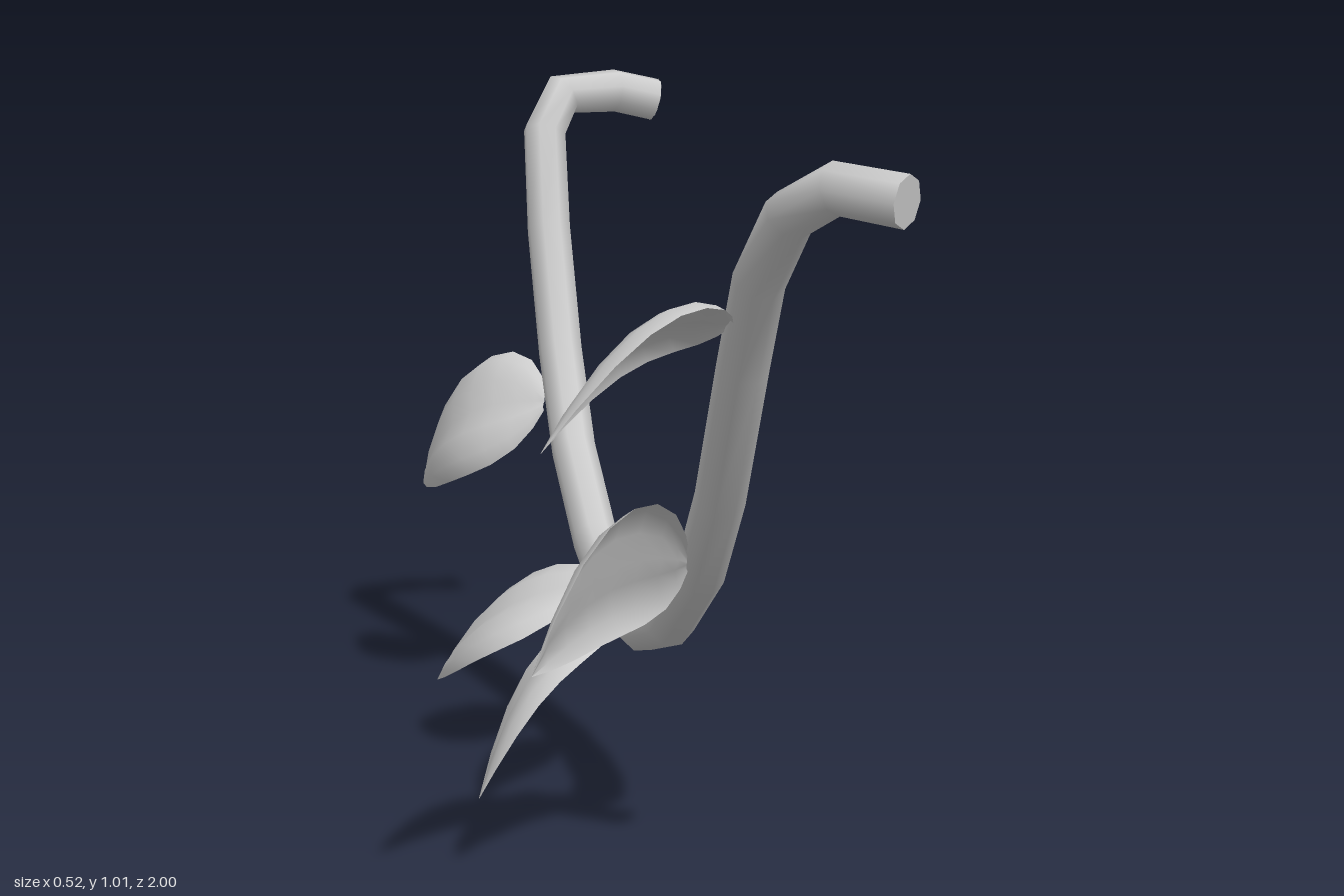
import * as THREE from 'three';

const V = (a) => new THREE.Vector3(...a);
const material = new THREE.MeshStandardMaterial({ color: 0xcccccc, side: THREE.DoubleSide });

// Leaf: rows of vertices across a bowed midrib, with a shallow groove and rims curling away from the bow
function makeLeaf({ base, tip, side, bow }) {
  const b = V(base), t = V(tip), s = V(side), a = V(bow);
  const up = new THREE.Vector3().crossVectors(t.clone().sub(b), s).normalize();
  if (up.dot(a) < 0) up.negate();
  const outline = [[0, 0.14], [0.06, 0.44], [0.16, 0.76], [0.3, 0.97], [0.45, 1.02],
    [0.6, 0.95], [0.75, 0.76], [0.89, 0.42], [1, 0.02]];
  const across = [[-1, -0.026], [-0.8, -0.008], [-0.4, 0], [0, -0.008], [0.4, 0], [0.8, -0.008], [1, -0.026]];
  const n = across.length;
  const pos = [], index = [];
  outline.forEach(([u, w], i) => {
    const lift = 4 * u * (1 - u) * (0.85 + 0.3 * u);
    const mid = b.clone().lerp(t, u).addScaledVector(a, lift);
    across.forEach(([v, height], j) => {
      const p = mid.clone().addScaledVector(s, v * w).addScaledVector(up, height * w);
      pos.push(p.x, p.y, p.z);
      if (i && j) {
        const k = i * n + j;
        index.push(k - n - 1, k - n, k, k - n - 1, k, k - 1);
      }
    });
  });
  const geo = new THREE.BufferGeometry();
  geo.setAttribute('position', new THREE.Float32BufferAttribute(pos, 3));
  geo.setIndex(index);
  geo.computeVertexNormals();
  return new THREE.Mesh(geo, material);
}

// Stem: eight-sided tube with one ring per path point, closed at both ends
function makeStem(points, radius) {
  const curve = new THREE.CatmullRomCurve3(points.map(V));
  curve.getPointAt = (u, target) => curve.getPoint(u, target);
  curve.getTangentAt = (u, target) => curve.getTangent(u, target);
  const stem = new THREE.Group();
  stem.name = 'stem';
  const tube = new THREE.Mesh(new THREE.TubeGeometry(curve, points.length - 1, radius, 8), material);
  tube.name = 'stemTube';
  stem.add(tube);
  [0, 1].forEach((u) => {
    const cap = new THREE.Mesh(new THREE.CircleGeometry(radius, 8), material);
    cap.name = u ? 'backStemEnd' : 'frontStemEnd';
    cap.position.copy(curve.getPoint(u));
    cap.lookAt(cap.position.clone().addScaledVector(curve.getTangent(u), u ? 1 : -1));
    stem.add(cap);
  });
  return stem;
}

export function createModel() {
  const model = new THREE.Group();
  model.name = 'hangingVine';

  // Sagging stem with both ends hooked towards +x
  model.add(makeStem([
    [0.185, 0.968, 0.97], [0.11, 0.98, 0.9], [0.065, 0.94, 0.83], [0.047, 0.845, 0.735],
    [0.046, 0.72, 0.645], [0.046, 0.52, 0.505], [0.046, 0.39, 0.37], [0.046, 0.285, 0.17],
    [0.046, 0.237, -0.04], [0.046, 0.243, -0.23], [0.046, 0.308, -0.42], [0.046, 0.425, -0.61],
    [0.046, 0.57, -0.73], [0.046, 0.76, -0.835], [0.05, 0.915, -0.895], [0.085, 0.975, -0.925],
    [0.18, 0.978, -0.963], [0.25, 0.962, -0.97],
  ], 0.036));

  // Five leaves on the -x side, from front to back
  [
    { base: [0.015, 0.785, 0.7], tip: [-0.265, 0.643, 0.855], side: [0, 0.043, 0.108], bow: [0.015, 0.073, -0.035] },
    { base: [0.015, 0.42, 0.43], tip: [-0.238, 0.308, 0.63], side: [0, 0.095, 0.045], bow: [0.005, 0.055, -0.065] },
    { base: [0.015, 0.235, -0.11], tip: [-0.215, 0.005, 0.035], side: [-0.02, -0.005, 0.118], bow: [-0.005, 0.07, -0.035] },
    { base: [0.015, 0.265, -0.29], tip: [-0.2, 0.085, -0.465], side: [0.055, 0.04, -0.1], bow: [-0.022, 0.05, 0.03] },
    { base: [0.015, 0.49, -0.71], tip: [-0.15, 0.325, -0.945], side: [0.027, 0.09, -0.045], bow: [-0.042, 0.055, 0.035] },
  ].forEach((spec, i) => {
    const leaf = makeLeaf(spec);
    leaf.name = `leaf${i + 1}`;
    model.add(leaf);
  });
  return model;
}
